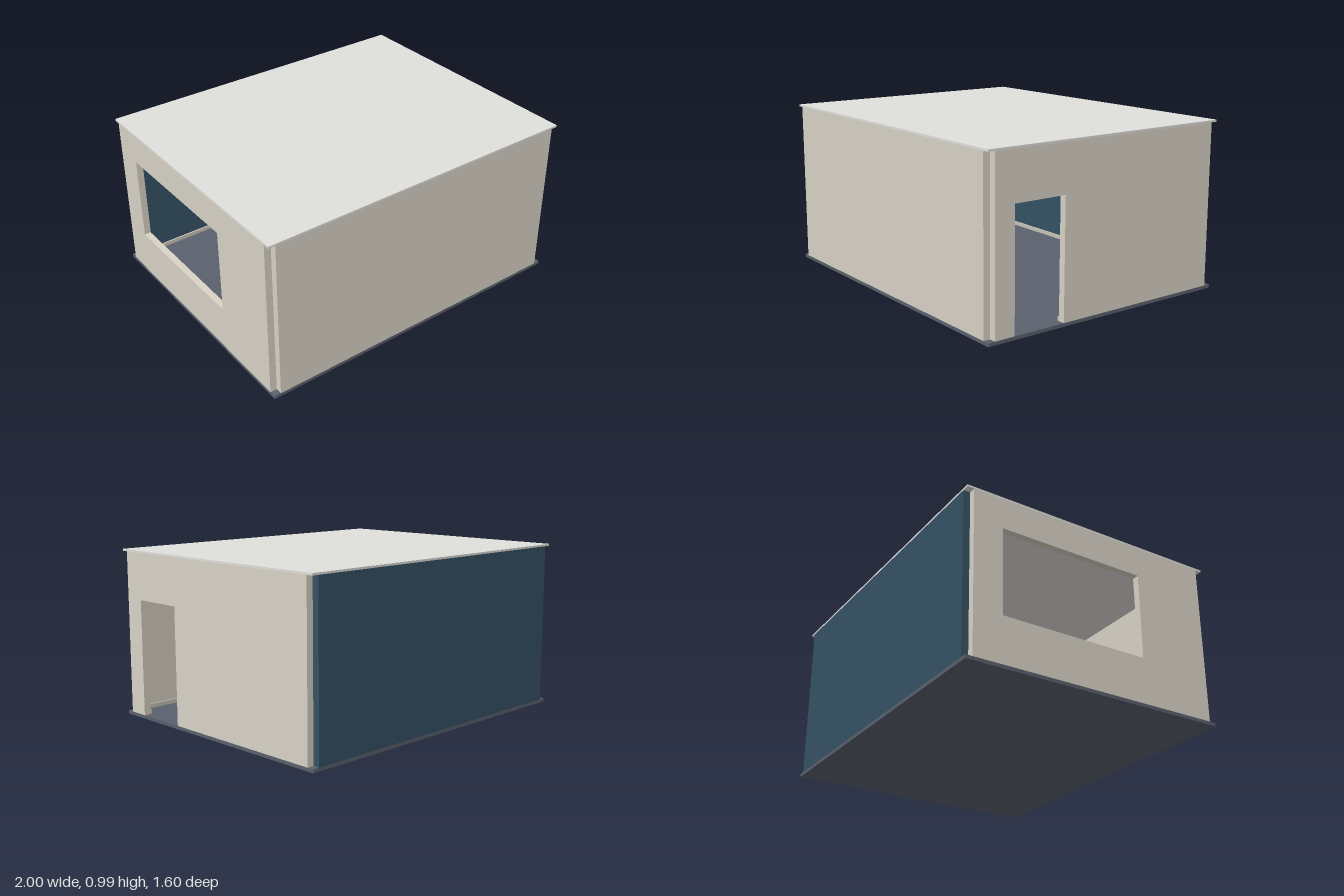
import * as THREE from 'three';

const W = 2, D = 1.6, T = 0.04;             // footprint and wall thickness
const FLOOR = 0.02, CEIL = 0.98, TOP = 0.992;
const DOOR = { z0: 0.312, z1: 0.636, top: 0.706 };
const WINDOW = { z0: -0.585, z1: 0.31, y0: 0.29, y1: 0.8 };
const SKIRT_H = 0.025, SKIRT_T = 0.01;

const material = (color) => new THREE.MeshStandardMaterial({ color });
const wallMat = material(0xd9d3c7);
const accentMat = material(0x355265);
const roofMat = material(0xe0dfdb);
const floorMat = material(0x5a616d);
const skirtMat = material(0xc9c3b6);

// Box given by its minimum and maximum corners
function box(name, mat, [x0, y0, z0], [x1, y1, z1]) {
  const mesh = new THREE.Mesh(new THREE.BoxGeometry(x1 - x0, y1 - y0, z1 - z0), mat);
  mesh.position.set((x0 + x1) / 2, (y0 + y1) / 2, (z0 + z1) / 2);
  mesh.name = name;
  return mesh;
}

const points = (list) => list.map(([z, y]) => new THREE.Vector2(z, y));

// Side wall drawn in the z-y plane, with its outer or inner face at x = maxX
function sideWall(name, outline, holes, maxX) {
  const shape = new THREE.Shape(points(outline));
  holes.forEach((hole) => shape.holes.push(new THREE.Path(points(hole))));
  const geometry = new THREE.ExtrudeGeometry(shape, { depth: T, bevelEnabled: false });
  geometry.rotateY(-Math.PI / 2);
  const mesh = new THREE.Mesh(geometry, wallMat);
  mesh.position.x = maxX;
  mesh.name = name;
  return mesh;
}

export function createModel() {
  const room = new THREE.Group();
  room.name = 'room';
  const hx = W / 2, hz = D / 2, ix = hx - T, iz = hz - T;

  // Floor and ceiling slabs
  room.add(box('floor', floorMat, [-hx, 0, -hz], [hx, FLOOR, hz]));
  room.add(box('ceiling', roofMat, [-hx, CEIL, -hz], [hx, TOP, hz]));

  // Front and back walls stop short of the corners, leaving small notches
  room.add(box('frontWall', wallMat, [-ix, FLOOR, iz], [ix, CEIL, hz]));
  room.add(box('backWall', accentMat, [-ix, FLOOR, -hz], [ix, CEIL, -iz]));

  // Left (+x) wall with the doorway
  room.add(sideWall('doorWall', [
    [-iz, FLOOR], [DOOR.z0, FLOOR], [DOOR.z0, DOOR.top], [DOOR.z1, DOOR.top],
    [DOOR.z1, FLOOR], [iz, FLOOR], [iz, CEIL], [-iz, CEIL],
  ], [], hx));

  // Right (-x) wall with the window opening
  room.add(sideWall('windowWall',
    [[-iz, FLOOR], [iz, FLOOR], [iz, CEIL], [-iz, CEIL]],
    [[[WINDOW.z0, WINDOW.y0], [WINDOW.z0, WINDOW.y1], [WINDOW.z1, WINDOW.y1], [WINDOW.z1, WINDOW.y0]]],
    -ix));

  // Skirting boards inside, interrupted at the doorway
  const skirting = new THREE.Group();
  skirting.name = 'skirting';
  const top = FLOOR + SKIRT_H, sx = ix - SKIRT_T, sz = iz - SKIRT_T;
  skirting.add(
    box('frontSkirting', skirtMat, [-ix, FLOOR, sz], [ix, top, iz]),
    box('backSkirting', skirtMat, [-ix, FLOOR, -iz], [ix, top, -sz]),
    box('windowWallSkirting', skirtMat, [-ix, FLOOR, -sz], [-sx, top, sz]),
    box('doorWallSkirtingBack', skirtMat, [sx, FLOOR, -sz], [ix, top, DOOR.z0]),
    box('doorWallSkirtingFront', skirtMat, [sx, FLOOR, DOOR.z1], [ix, top, sz]),
  );
  room.add(skirting);
  return room;
}
